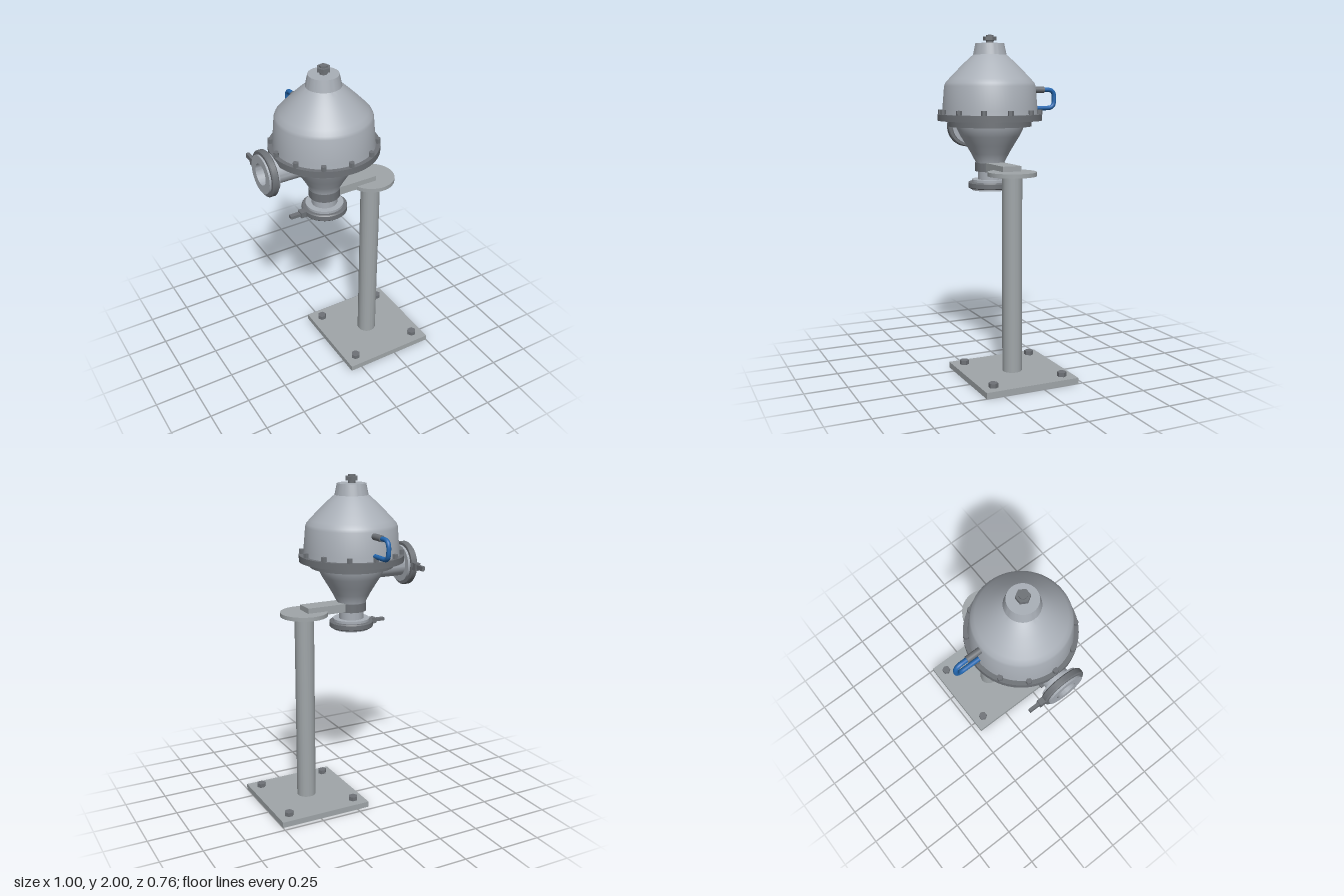
import * as THREE from 'three';
import { toCreasedNormals } from 'three/addons/utils/BufferGeometryUtils.js';

const mat = (name, color) => {
  const m = new THREE.MeshStandardMaterial({ color });
  m.name = name;
  return m;
};

export function createModel() {
  const steel = mat('brushed steel', 0xa9afb7);
  const stand = mat('stand grey', 0xa0a6a9);
  const dark = mat('dark fittings', 0x6e7277);
  const blue = mat('blue hose', 0x2468b0);

  const model = new THREE.Group();
  const bodyX = -0.103, postX = 0.2125, midZ = 0.066;

  function add(parent, name, geometry, material, x = 0, y = 0, z = 0) {
    const mesh = new THREE.Mesh(geometry, material);
    mesh.name = name;
    mesh.position.set(x, y, z);
    parent.add(mesh);
    return mesh;
  }
  // Turned part with crisp edges; profile runs from the bottom axis outward and up
  const turned = (points) => toCreasedNormals(
    new THREE.LatheGeometry(points.map(([r, y]) => new THREE.Vector2(r, y)), 64), 0.5);
  const disc = (r, y0, y1) => turned([[0, y0], [r, y0], [r, y1], [0, y1]]);
  // Hexagon with corners along x
  const hex = (r, h) => new THREE.CylinderGeometry(r, r, h, 6).rotateY(Math.PI / 6).toNonIndexed();
  const flatHex = (r, h) => { const g = hex(r, h); g.computeVertexNormals(); return g; };

  // ---- Stand ----
  const standGroup = new THREE.Group();
  standGroup.name = 'stand';
  standGroup.position.set(postX, 0, midZ);
  model.add(standGroup);
  add(standGroup, 'basePlate', new THREE.BoxGeometry(0.575, 0.035, 0.575), stand, 0, 0.0175, 0);
  add(standGroup, 'post', disc(0.058, 0.03, 1.195), stand);
  add(standGroup, 'topDisc', disc(0.142, 1.19, 1.214), stand);
  add(standGroup, 'supportArm', new THREE.BoxGeometry(0.26, 0.051, 0.115), stand, -0.13, 1.2195, 0);
  for (const sx of [-1, 1]) for (const sz of [-1, 1])
    add(standGroup, 'baseBolt', flatHex(0.028, 0.026), dark, sx * 0.217, 0.047, sz * 0.217);

  // ---- Vessel ----
  const vessel = new THREE.Group();
  vessel.name = 'vessel';
  vessel.position.set(bodyX, 0, midZ);
  model.add(vessel);
  add(vessel, 'lowerCone', turned([
    [0, 1.2], [0.085, 1.2], [0.088, 1.245], [0.115, 1.297], [0.145, 1.348],
    [0.178, 1.402], [0.2, 1.445], [0.205, 1.48], [0, 1.48]]), steel);
  add(vessel, 'dome', turned([
    [0, 1.52], [0.29, 1.52], [0.286, 1.56], [0.274, 1.70], [0.267, 1.718], [0.246, 1.742],
    [0.205, 1.785], [0.16, 1.83], [0.125, 1.863], [0.098, 1.886], [0, 1.886]]), steel);
  add(vessel, 'neck', turned([[0, 1.875], [0.102, 1.875], [0.086, 1.951], [0, 1.951]]), steel);
  add(vessel, 'topStem', disc(0.022, 1.945, 2.0), dark);
  add(vessel, 'topNut', flatHex(0.04, 0.023), dark, 0, 1.979, 0);
  add(vessel, 'flange', disc(0.314, 1.495, 1.533), dark);
  add(vessel, 'flangeStep', disc(0.25, 1.46, 1.497), dark);
  add(vessel, 'outletCollar', disc(0.091, 1.19, 1.242), dark);
  for (let i = 0; i < 12; i++) {
    const a = i * Math.PI / 6;
    add(vessel, 'flangeBolt', flatHex(0.017, 0.03), dark, 0.298 * Math.cos(a), 1.545, 0.298 * Math.sin(a));
  }

  // ---- Open pipe with end ferrules, clamp ring and lever; mouth faces local -y ----
  function clampedPipe(name, length, leverTurn) {
    const g = new THREE.Group();
    g.name = name;
    add(g, 'pipe', turned([
      [0, length - 0.02], [0.062, length - 0.02], [0.062, 0], [0.111, 0], [0.111, 0.065],
      [0.075, 0.065], [0.075, length], [0, length]]), steel);
    add(g, 'clampRing', turned([
      [0.1, 0.05], [0.1, 0.011], [0.127, 0.011], [0.133, 0.017], [0.133, 0.044],
      [0.127, 0.05], [0.1, 0.05]]), dark);
    const lever = new THREE.Group();
    lever.name = 'clampLever';
    lever.rotation.y = leverTurn;
    add(lever, 'lug', new THREE.BoxGeometry(0.045, 0.034, 0.045), dark, -0.142, 0.0305, 0);
    add(lever, 'handle', new THREE.BoxGeometry(0.075, 0.018, 0.028), dark, -0.19, 0.0305, 0);
    g.add(lever);
    return g;
  }
  const outlet = clampedPipe('outlet', 0.13, 0);
  outlet.position.y = 1.076;
  const inlet = clampedPipe('inlet', 0.27, -Math.PI / 2);
  inlet.position.set(-0.397, 1.447, 0);
  inlet.rotation.z = -Math.PI / 2;
  // Flared weld where the inlet meets the cone
  add(inlet, 'inletWeld', turned([[0, 0.225], [0.075, 0.225], [0.095, 0.25], [0.1, 0.28], [0, 0.28]]), steel);
  vessel.add(outlet, inlet);

  // ---- Air hose at the back ----
  add(vessel, 'hoseConnector', new THREE.CylinderGeometry(0.019, 0.019, 0.11, 24).rotateX(Math.PI / 2),
    dark, 0, 1.676, -0.306);
  const v = (y, z) => new THREE.Vector3(0, y, z);
  const path = new THREE.CurvePath();
  path.add(new THREE.LineCurve3(v(1.676, -0.35), v(1.676, -0.388)));
  path.add(new THREE.QuadraticBezierCurve3(v(1.676, -0.388), v(1.676, -0.434), v(1.63, -0.434)));
  path.add(new THREE.LineCurve3(v(1.63, -0.434), v(1.61, -0.434)));
  path.add(new THREE.QuadraticBezierCurve3(v(1.61, -0.434), v(1.564, -0.434), v(1.564, -0.388)));
  path.add(new THREE.LineCurve3(v(1.564, -0.388), v(1.564, -0.27)));
  add(vessel, 'airHose', new THREE.TubeGeometry(path, 60, 0.0138, 14, false), blue);

  return model;
}
